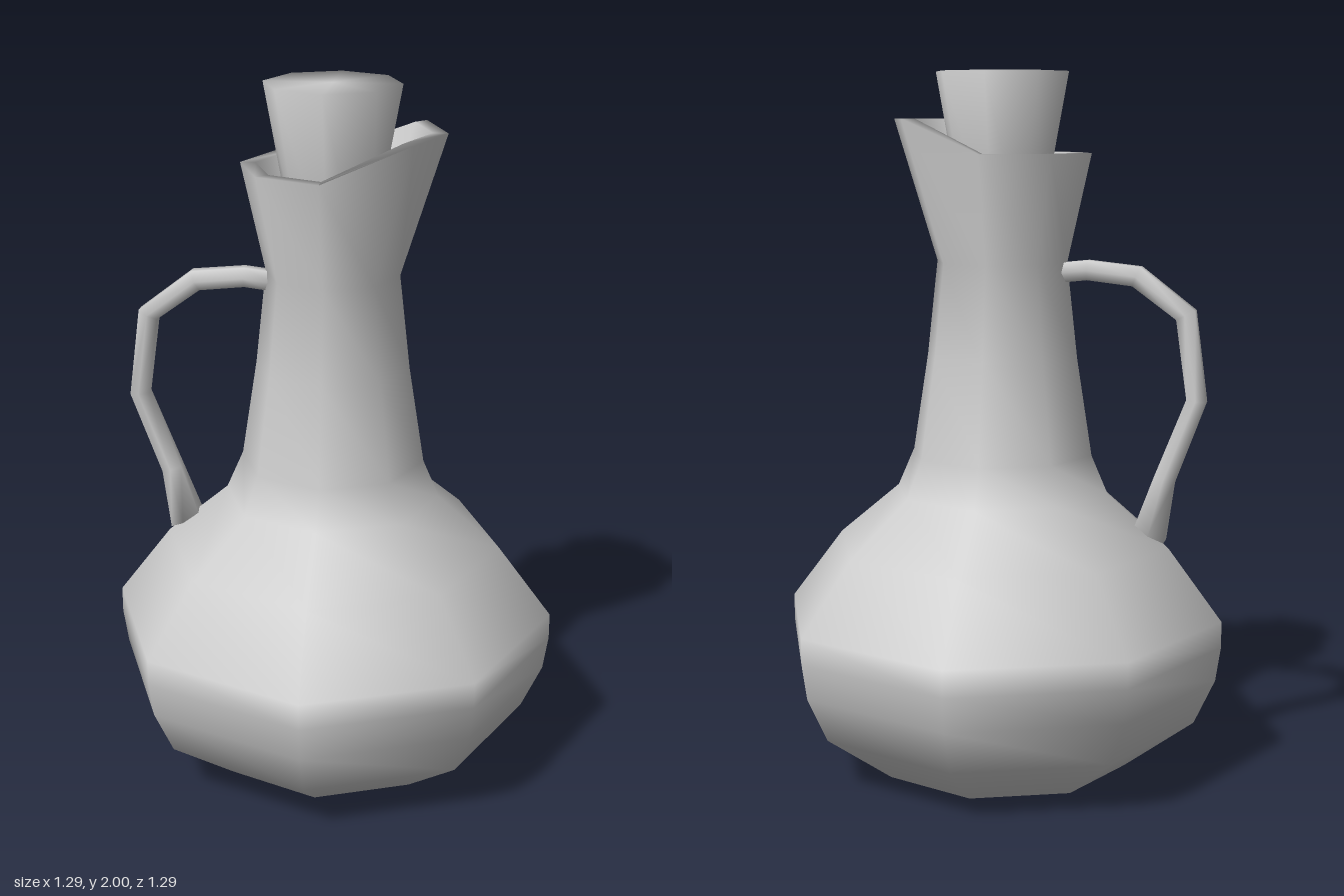
import * as THREE from 'three';
import { mergeVertices } from 'three/addons/utils/BufferGeometryUtils.js';

const material = new THREE.MeshStandardMaterial({ color: 0xcccccc, side: THREE.DoubleSide });

// Weld shared corners so the low-poly form is shaded smoothly all round
function smoothMesh(geometry, name) {
  geometry.deleteAttribute('normal');
  geometry.deleteAttribute('uv');
  const welded = mergeVertices(geometry, 1e-4);
  welded.computeVertexNormals();
  const mesh = new THREE.Mesh(welded, material);
  mesh.name = name;
  return mesh;
}

const octagonLathe = (profile) =>
  new THREE.LatheGeometry(profile.map(([r, y]) => new THREE.Vector2(r, y)), 8);

// Bottle: outer wall, rim and inside of the neck in one profile
function createBottle() {
  const geometry = octagonLathe([
    [0, 0], [0.37, 0.005], [0.57, 0.15], [0.63, 0.28], [0.645, 0.38], [0.645, 0.455],
    [0.49, 0.66], [0.312, 0.81], [0.264, 0.92], [0.22, 1.2], [0.19, 1.47],
    [0.258, 1.775], [0.215, 1.775], [0.15, 1.5], [0, 1.48],
  ]);
  // Pull the +x side of the rim out and up into a pouring spout
  const p = geometry.attributes.position;
  for (let i = 0; i < p.count; i++) {
    const x = p.getX(i), y = p.getY(i);
    if (y > 1.7 && x > 0.1) p.setXY(i, x + 0.058, y + 0.095);
  }
  return smoothMesh(geometry, 'bottle');
}

// Tapered stopper
function createStopper() {
  return smoothMesh(octagonLathe([[0, 1.55], [0.11, 1.55], [0.192, 2], [0, 2]]), 'stopper');
}

// Handle: hexagonal rings along a bent path, flared at the lower end
function createHandle() {
  const path = [ // x, y, radius
    [-0.16, 1.44, 0.032], [-0.25, 1.45, 0.032], [-0.39, 1.435, 0.034], [-0.53, 1.33, 0.034],
    [-0.563, 1.09, 0.032], [-0.475, 0.86, 0.034], [-0.437, 0.705, 0.055],
  ];
  const sides = 6, positions = [], index = [];
  path.forEach(([x, y, r], i) => {
    const a = path[Math.max(i - 1, 0)], b = path[Math.min(i + 1, path.length - 1)];
    const last = i === path.length - 1;
    // The last ring lies along the shoulder of the bottle
    const dir = last ? new THREE.Vector2(0.5, -0.85).normalize()
      : new THREE.Vector2(b[0] - a[0], b[1] - a[1]).normalize();
    for (let k = 0; k < sides; k++) {
      const t = (k / sides) * Math.PI * 2;
      const n = Math.sin(t) * r, z = Math.cos(t) * r;
      positions.push(x - dir.y * n, y + dir.x * n, z);
      if (last) continue;
      const p = i * sides + k, q = i * sides + (k + 1) % sides;
      index.push(p, p + sides, q, q, p + sides, q + sides);
    }
  });
  // Caps on both ends
  const end = (path.length - 1) * sides;
  for (let k = 1; k < sides - 1; k++) {
    index.push(0, k, k + 1, end, end + k + 1, end + k);
  }
  const geometry = new THREE.BufferGeometry();
  geometry.setAttribute('position', new THREE.Float32BufferAttribute(positions, 3));
  geometry.setIndex(index);
  return smoothMesh(geometry, 'handle');
}

export function createModel() {
  const model = new THREE.Group();
  model.name = 'stopperedJug';
  model.add(createBottle(), createStopper(), createHandle());
  return model;
}
